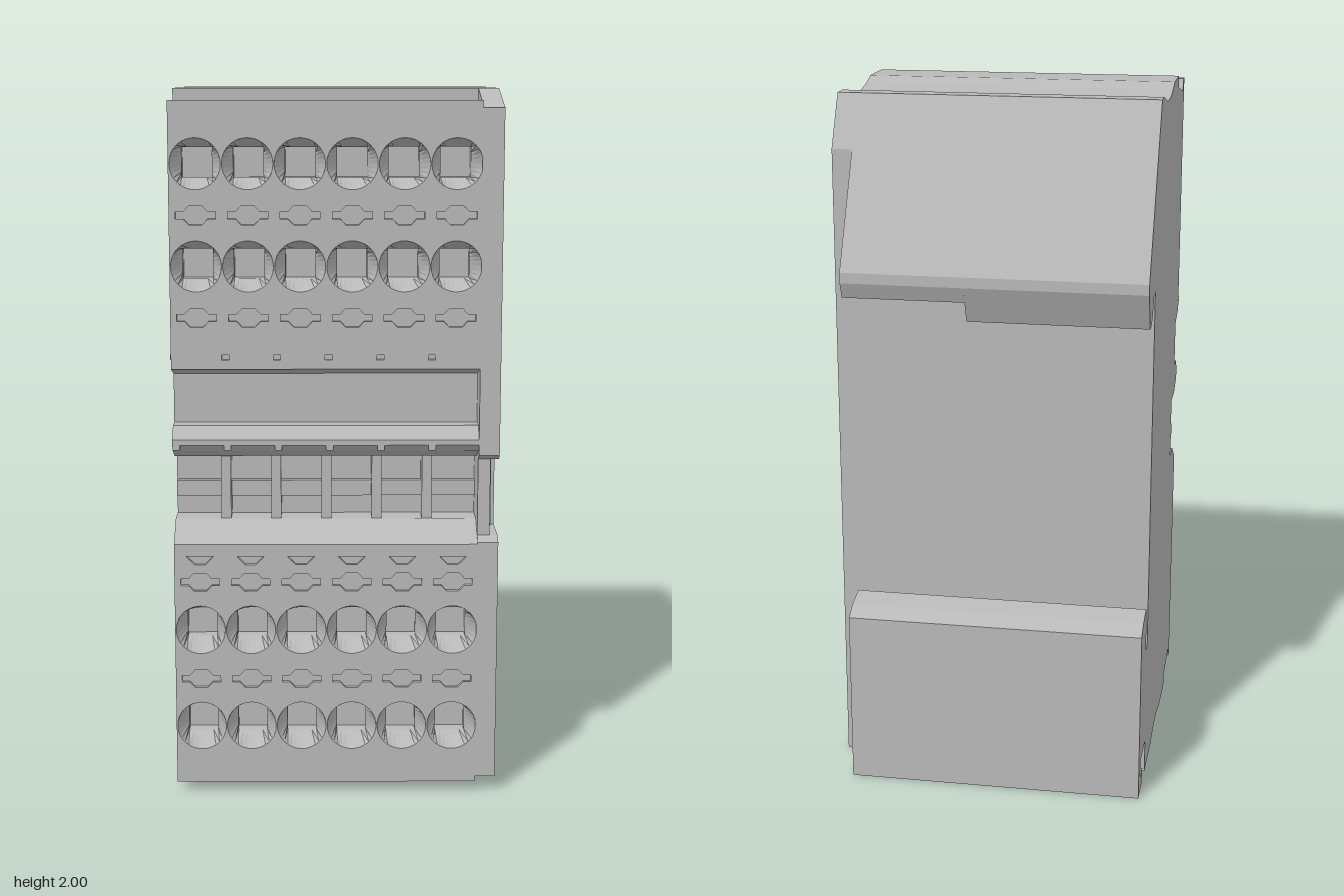
import * as THREE from 'three';

const LEFT = -0.46, INNER = 0.397, OUTER = 0.455;
const PITCH = 0.143, FIRST = -0.387;
const columns = Array.from({ length: 6 }, (_, i) => FIRST + PITCH * i);

export function createModel() {
  const group = new THREE.Group();
  const grey = new THREE.MeshStandardMaterial({ color: 0xb8b8b8, side: THREE.DoubleSide });
  grey.name = 'housingGrey';

  const add = (name, geometry) => {
    const mesh = new THREE.Mesh(geometry, grey);
    mesh.name = name;
    group.add(mesh);
    return mesh;
  };
  const shapeOf = pts => new THREE.Shape(pts.map(p => new THREE.Vector2(...p)));
  // Extrude a (z, y) profile sideways from x0 to x1
  const sideways = (name, pts, x0, x1) => {
    const g = new THREE.ExtrudeGeometry(shapeOf(pts), { depth: x1 - x0, bevelEnabled: false });
    g.rotateY(-Math.PI / 2).translate(x1, 0, 0);
    return add(name, g);
  };
  const box = (name, x0, x1, y0, y1, z0, z1) => add(name,
    new THREE.BoxGeometry(x1 - x0, y1 - y0, z1 - z0)
      .translate((x0 + x1) / 2, (y0 + y1) / 2, (z0 + z1) / 2));

  // Waved top and bottom outlines, from front to back
  const topWave = [[0.29, 2], [0.15, 2], [0.1, 1.985], [0.04, 1.973], [-0.02, 1.97],
    [-0.08, 1.976], [-0.13, 1.988], [-0.18, 2], [-0.235, 2], [-0.315, 1.853]];
  const bottomWave = [[-0.315, 0], [-0.13, 0], [-0.08, 0.01], [-0.03, 0.019], [0.04, 0.019],
    [0.09, 0.01], [0.14, 0], [0.29, 0]];

  // Main body with lips, cable channel and connector recess
  sideways('body', [
    ...topWave, ...bottomWave,
    [0.29, 0.035], [0.445, 0.065], [0.46, 0.03], [0.485, 0.03], [0.485, 0.075], [0.365, 0.075],
    [0.365, 0.7], [0.485, 0.7], [0.485, 0.735], [0.4, 0.79], [0.325, 0.79], [0.325, 0.975],
    [0.41, 0.975], [0.465, 1.0], [0.485, 1.02], [0.485, 1.035], [0.45, 1.07], [0.4, 1.07],
    [0.4, 1.21], [0.47, 1.23], [0.485, 1.235], [0.485, 1.25], [0.365, 1.25],
    [0.365, 1.925], [0.485, 1.925], [0.485, 1.97], [0.46, 1.97], [0.445, 1.935], [0.29, 1.965],
  ], LEFT, INNER);

  // Side plate: full inner layer, outer layer with a tapered label notch
  const front = [[0.485, 0.045], [0.485, 0.74]];
  const frontTop = [[0.485, 0.99], [0.485, 1.95]];
  sideways('sidePlateInner', [...topWave, ...bottomWave, ...front, [0.46, 0.755],
    [0.46, 0.975], ...frontTop], INNER, 0.432);
  sideways('sidePlateOuter', [...topWave, ...bottomWave, ...front, [0.46, 0.755], [0.325, 0.755],
    [0.325, 0.975], [0.46, 0.975], ...frontTop], 0.432, OUTER);
  sideways('notchRim', [[0.325, 0.755], [0.345, 0.755], [0.345, 0.975], [0.325, 0.975]], 0.43, 0.444);

  // Upper rear hook, its outer part cut shorter below
  const hookTop = [[-0.315, 1.853], [-0.485, 1.54], [-0.485, 1.51]];
  sideways('rearHook', [...hookTop, [-0.44, 1.405], [-0.405, 1.405], [-0.375, 1.425],
    [-0.345, 1.475], [-0.315, 1.48]], LEFT, 0.05);
  sideways('rearHookCutaway', [...hookTop, [-0.466, 1.465], [-0.4, 1.48], [-0.36, 1.53],
    [-0.315, 1.53]], 0.05, INNER);

  // Lower rear foot with a catch underneath
  sideways('rearFoot', [[-0.315, 0.1], [-0.44, 0.1], [-0.44, 0.045], [-0.38, 0.045], [-0.38, 0.025],
    [-0.395, 0], [-0.485, 0], [-0.485, 0.51], [-0.44, 0.535], [-0.37, 0.55], [-0.352, 0.535],
    [-0.352, 0.41], [-0.315, 0.41]], LEFT, INNER);
  box('footLatch', -0.05, INNER, 0.4, 0.52, -0.345, -0.31);

  // Front panels: a skin with ports and test slots over a slab with ports only
  const circle = (x, y) => new THREE.Path().absarc(x, y, 0.07, 0, Math.PI * 2, true);
  const polygon = (x, y, pts) => new THREE.Path(pts.map(p => new THREE.Vector2(x + p[0], y + p[1])));
  const slot = [[-0.055, -0.01], [-0.033, -0.01], [-0.018, -0.026], [0.018, -0.026], [0.033, -0.01],
    [0.055, -0.01], [0.055, 0.01], [0.033, 0.01], [0.018, 0.026], [-0.018, 0.026],
    [-0.033, 0.01], [-0.055, 0.01]];
  const halfSlot = [[-0.045, 0.026], [-0.045, 0.008], [-0.015, -0.022], [0.015, -0.022],
    [0.045, 0.008], [0.045, 0.026]];
  const tick = [[-0.075, -0.007], [-0.055, -0.007], [-0.055, 0.007], [-0.075, 0.007]];

  const panel = (name, y0, y1, portRows, details) => {
    const layer = (part, z0, z1, withDetails) => {
      const s = shapeOf([[LEFT, y0], [INNER, y0], [INNER, y1], [LEFT, y1]]);
      for (const x of columns) {
        for (const y of portRows) s.holes.push(circle(x, y));
        if (withDetails) for (const [y, pts] of details) s.holes.push(polygon(x, y, pts));
      }
      add(name + part, new THREE.ExtrudeGeometry(s,
        { depth: z1 - z0, bevelEnabled: false, curveSegments: 24 }).translate(0, 0, z0));
    };
    layer('Skin', 0.473, 0.485, true);
    layer('Slab', 0.365, 0.473, false);
    for (const x of columns) for (const y of portRows) {
      add('wirePort', funnel()).position.set(x, y, 0.425);
    }
  };

  // Round mouth narrowing to a square socket
  function funnel() {
    const g = new THREE.CylinderGeometry(0.07, 0.07, 0.12, 32, 2, true).rotateX(Math.PI / 2);
    const p = g.attributes.position;
    for (let i = 0; i < p.count; i++) {
      if (p.getZ(i) > 0.03) continue;
      const x = p.getX(i), y = p.getY(i);
      const k = 0.042 / Math.max(Math.abs(x), Math.abs(y));
      p.setXY(i, x * k, y * k);
      if (p.getZ(i) > -0.03) p.setZ(i, -0.025);
    }
    const flat = g.toNonIndexed();
    flat.computeVertexNormals();
    return flat;
  }

  panel('upperPanel', 1.25, 1.925, [1.8, 1.52], [[1.66, slot], [1.378, slot], [1.268, tick]]);
  panel('lowerPanel', 0.075, 0.7 + 0.03, [0.485, 0.2], [[0.625, slot], [0.34, slot], [0.698, halfSlot]]);

  // Ribs and rail dividing the connector recess into pockets
  for (const x of columns.slice(0, 5)) {
    const c = x + PITCH / 2;
    box('pocketRib', c - 0.014, c + 0.014, 0.78, 0.98, 0.32, 0.395);
  }
  box('pocketRail', LEFT, INNER, 0.845, 0.89, 0.32, 0.345);

  // Small nubs along the flange
  for (const x of columns) box('flangeNub', x - 0.075 + 0.003, x - 0.052, 1.005, 1.02, 0.45, 0.485);

  return group;
}
